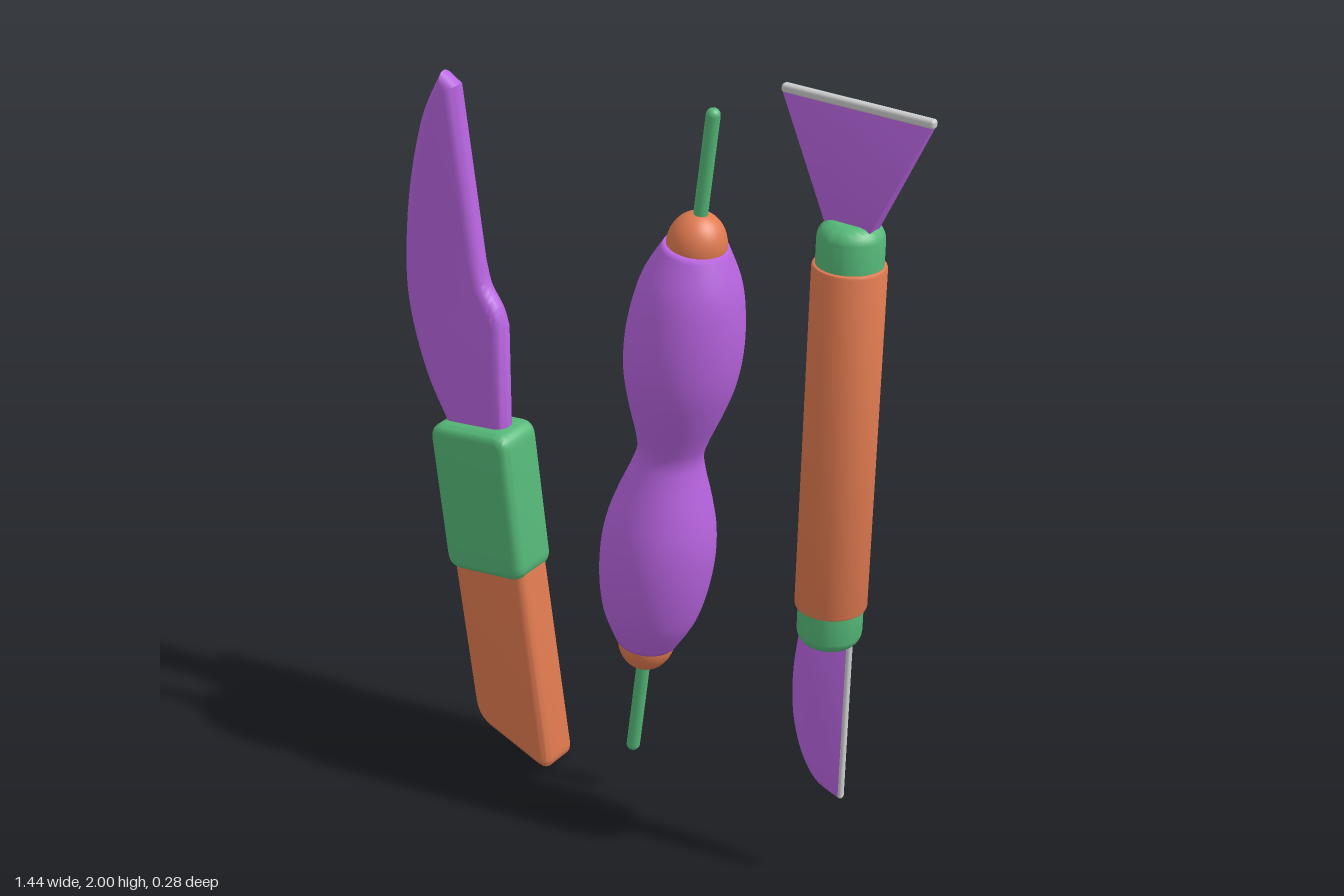
import * as THREE from 'three';
import { toCreasedNormals } from 'three/addons/utils/BufferGeometryUtils.js';
import { RoundedBoxGeometry } from 'three/addons/geometries/RoundedBoxGeometry.js';

const material = (color) => new THREE.MeshStandardMaterial({ color });
const purple = material(0xb864e0);
const orange = material(0xe07a50);
const green = material(0x55b878);
const grey = material(0xcccccc);

const v2 = ([x, y]) => new THREE.Vector2(x, y);

function add(parent, name, geometry, mat) {
  const mesh = new THREE.Mesh(geometry, mat);
  mesh.name = name;
  parent.add(mesh);
  return mesh;
}

// Closed polygon whose corners are softened over a distance t
function softPolygon(corners, t) {
  const pts = corners.map(v2);
  const shape = new THREE.Shape();
  pts.forEach((p, i) => {
    const prev = pts[(i + pts.length - 1) % pts.length];
    const next = pts[(i + 1) % pts.length];
    const a = p.clone().add(prev.clone().sub(p).setLength(t));
    const b = p.clone().add(next.clone().sub(p).setLength(t));
    if (i === 0) shape.moveTo(a.x, a.y);
    else shape.lineTo(a.x, a.y);
    shape.quadraticCurveTo(p.x, p.y, b.x, b.y);
  });
  shape.closePath();
  return shape;
}

// Slab centred on z = 0 with rounded edges; offset -bevel keeps the outline's size
function slab(shape, halfDepth, bevel, offset = -bevel) {
  const depth = Math.max(2 * (halfDepth - bevel), 0.001);
  const geometry = new THREE.ExtrudeGeometry(shape, {
    depth, bevelThickness: bevel, bevelSize: bevel, bevelOffset: offset,
    bevelSegments: 5, curveSegments: 8,
  });
  geometry.translate(0, 0, -depth / 2);
  return toCreasedNormals(geometry, 0.7);
}

// Scale the thickness of a geometry by a rule of its position
function taper(geometry, rule) {
  const p = geometry.attributes.position;
  for (let i = 0; i < p.count; i++) p.setZ(i, p.getZ(i) * rule(p.getX(i), p.getY(i)));
  return toCreasedNormals(geometry, 0.6);
}

function lathe(points) {
  return toCreasedNormals(new THREE.LatheGeometry(points.map(v2), 48), 0.7);
}

// Flat knife with guard and angled handle
function createKnife() {
  const knife = new THREE.Group();
  knife.name = 'knife';

  const blade = new THREE.Shape();
  blade.moveTo(-0.58, 0.88);
  blade.lineTo(-0.45, 0.88);
  blade.lineTo(-0.45, 1.2);
  blade.splineThru([[-0.463, 1.24], [-0.498, 1.295], [-0.515, 1.36]].map(v2));
  blade.lineTo(-0.572, 1.79);
  blade.lineTo(-0.58, 1.795);
  blade.splineThru([[-0.628, 1.69], [-0.672, 1.5], [-0.69, 1.3], [-0.678, 1.17],
    [-0.637, 1.03], [-0.58, 0.92]].map(v2));
  add(knife, 'knifeBlade', slab(blade, 0.03, 0.028, 0), purple);

  const guard = softPolygon([[-0.58, 0.512], [-0.342, 0.542], [-0.388, 0.94], [-0.627, 0.91]], 0.042);
  add(knife, 'knifeGuard', slab(guard, 0.07, 0.025), green);

  const handle = softPolygon([[-0.51, 0.08], [-0.275, -0.012], [-0.357, 0.6], [-0.578, 0.59]], 0.05);
  add(knife, 'knifeHandle', slab(handle, 0.057, 0.022), orange);
  return knife;
}

// Double-bulb tool with a needle at each end
function createNeedleTool() {
  const tool = new THREE.Group();
  tool.name = 'needleTool';
  const half = [[0.08, 0], [0.09, 0.05], [0.115, 0.13], [0.134, 0.21], [0.14, 0.29],
    [0.134, 0.38], [0.115, 0.47], [0.076, 0.555]];
  const whole = [...half.slice(1).reverse().map(([r, y]) => [r, -y]), ...half];
  const profile = new THREE.SplineCurve(whole.map(v2)).getPoints(64);
  add(tool, 'bulbGrip', new THREE.LatheGeometry(
    [new THREE.Vector2(0, -0.555), ...profile, new THREE.Vector2(0, 0.555)], 48), purple);

  for (const side of [1, -1]) {
    const end = new THREE.Group();
    end.name = side > 0 ? 'upperNeedleEnd' : 'lowerNeedleEnd';
    if (side < 0) end.rotation.z = Math.PI;
    const cap = add(end, 'needleCap',
      new THREE.SphereGeometry(0.071, 32, 12, 0, Math.PI * 2, 0, Math.PI / 2), orange);
    cap.position.y = 0.555;
    cap.scale.y = 1.15;
    const needle = add(end, 'needle', new THREE.CapsuleGeometry(0.017, 0.29, 8, 16), green);
    needle.position.y = 0.738;
    tool.add(end);
  }
  tool.position.set(0.06, 1.02, 0);
  tool.rotation.z = -0.126;
  return tool;
}

// Round handle with a wide scraper above and a small blade below
function createScraper() {
  const tool = new THREE.Group();
  tool.name = 'scraper';
  add(tool, 'scraperHandle', lathe([[0, -0.432], [0.079, -0.432], [0.083, -0.43], [0.085, -0.425],
    [0.085, 0.425], [0.083, 0.43], [0.079, 0.432], [0, 0.432]]), orange);

  const collarProfile = [[0.077, 0.42]];
  for (let i = 0; i <= 8; i++) {
    const a = (i / 8) * Math.PI / 2;
    collarProfile.push([0.037 + 0.04 * Math.cos(a), 0.492 + 0.04 * Math.sin(a)]);
  }
  collarProfile.push([0, 0.532]);
  for (const side of [1, -1]) {
    const collar = add(tool, side > 0 ? 'upperCollar' : 'lowerCollar', lathe(collarProfile), green);
    if (side < 0) collar.rotation.z = Math.PI;
  }

  // Wide blade, thinning towards its top edge
  const fan = softPolygon([[-0.048, 0.5], [0.048, 0.5], [0.19, 0.795], [-0.19, 0.795]], 0.006);
  add(tool, 'scraperBlade', taper(slab(fan, 0.022, 0.003),
    (x, y) => THREE.MathUtils.mapLinear(y, 0.53, 0.795, 1, 0.4)), purple);
  add(tool, 'scraperEdge', new RoundedBoxGeometry(0.386, 0.022, 0.022, 3, 0.008), grey)
    .position.y = 0.8;

  // Small curved blade, thinning towards its straight edge
  const curved = new THREE.Shape();
  curved.moveTo(0.055, -0.94);
  curved.lineTo(0.055, -0.5);
  curved.lineTo(-0.068, -0.5);
  curved.splineThru([[-0.079, -0.6], [-0.08, -0.69], [-0.07, -0.77], [-0.045, -0.85],
    [-0.005, -0.91], [0.055, -0.94]].map(v2));
  add(tool, 'smallBlade', taper(slab(curved, 0.023, 0.004),
    (x) => THREE.MathUtils.mapLinear(x, -0.08, 0.055, 1, 0.35)), purple);
  add(tool, 'smallBladeEdge', new RoundedBoxGeometry(0.014, 0.43, 0.017, 3, 0.006), grey)
    .position.set(0.056, -0.727, 0);

  tool.position.set(0.525, 1.19, 0);
  tool.rotation.x = -0.04;
  return tool;
}

export function createModel() {
  const model = new THREE.Group();
  model.name = 'toolSet';
  model.add(createKnife(), createNeedleTool(), createScraper());
  return model;
}
